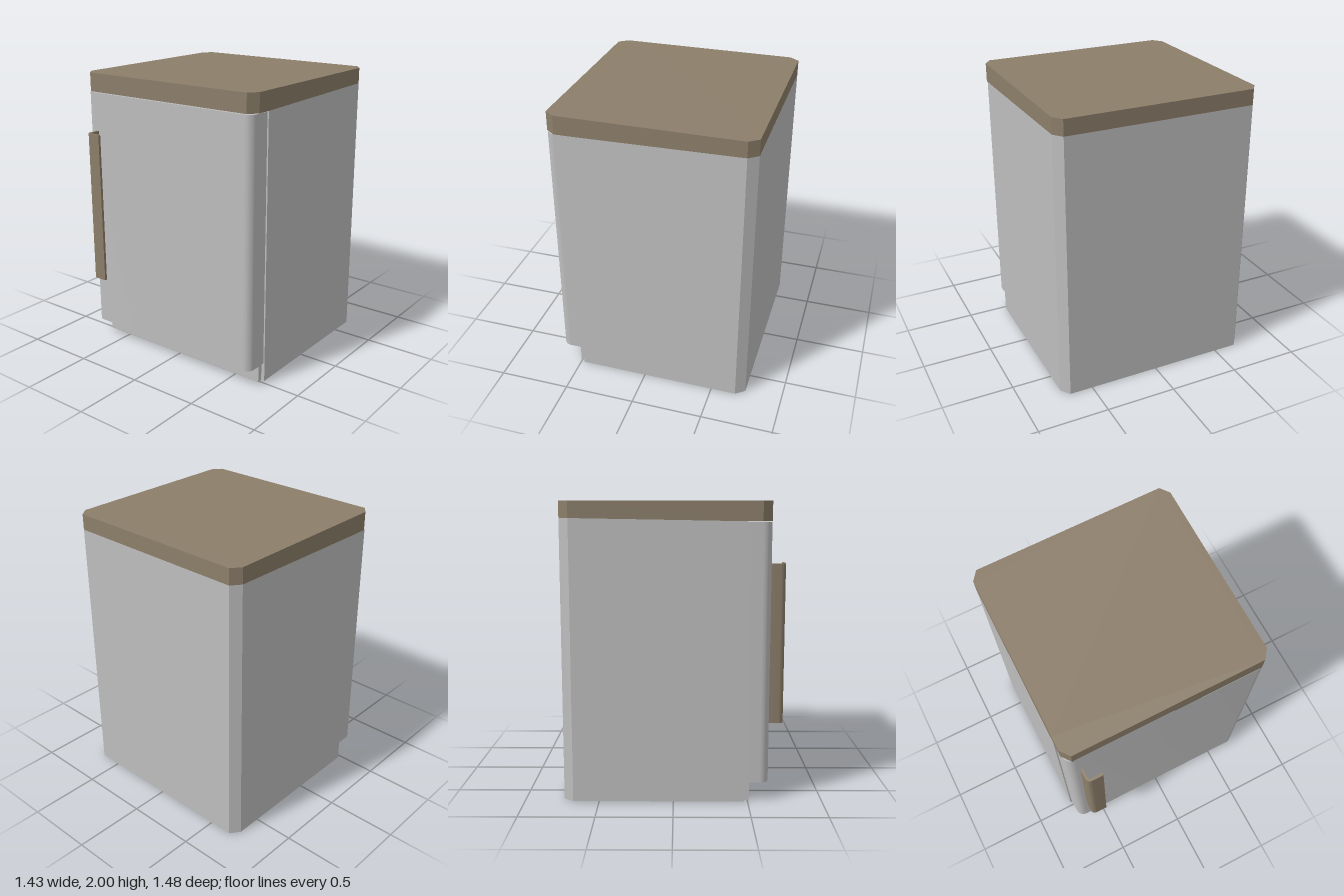
import * as THREE from 'three';
import { toCreasedNormals } from 'three/addons/utils/BufferGeometryUtils.js';

const steel = new THREE.MeshStandardMaterial({ color: 0xbebebe });
steel.name = 'light grey';
const trim = new THREE.MeshStandardMaterial({ color: 0x8c7e6a });
trim.name = 'taupe';

const W = 0.715, BACK = -0.74, FRONT = 0.64, BODY_FRONT = 0.475;
const CHAMFER_X = 0.05, CHAMFER_Z = 0.065;

// Shape from [x, z] floor-plan points
const plan = (points) => new THREE.Shape(points.map(([x, z]) => new THREE.Vector2(x, -z)));

// Raises a floor-plan shape from y0 to y1
function raise(shape, y0, y1) {
  const g = new THREE.ExtrudeGeometry(shape, { depth: y1 - y0, bevelEnabled: false, curveSegments: 8 });
  return g.rotateX(-Math.PI / 2).translate(0, y0, 0);
}

// Height of the joint between cabinet and worktop, rising slightly to the back
const joint = (z) => 1.87 + 0.02 * THREE.MathUtils.clamp((BODY_FRONT - z) / (BODY_FRONT - BACK - CHAMFER_Z), 0, 1);

function followJoint(g, isEdge) {
  const p = g.attributes.position;
  for (let i = 0; i < p.count; i++) if (isEdge(p.getY(i))) p.setY(i, joint(p.getZ(i)));
  g.computeVertexNormals();
  return g;
}

export function createModel() {
  const model = new THREE.Group();
  model.name = 'cabinetFridge';
  const add = (name, geometry, material) => {
    const mesh = new THREE.Mesh(geometry, material);
    mesh.name = name;
    model.add(mesh);
  };

  // Cabinet with chamfered back corners
  const backEdge = [
    [W, BACK + CHAMFER_Z], [W - CHAMFER_X, BACK],
    [-W + CHAMFER_X, BACK], [-W, BACK + CHAMFER_Z],
  ];
  const body = plan([[W, BODY_FRONT], ...backEdge, [-W, BODY_FRONT]]);
  add('cabinetBody', followJoint(raise(body, 0, 1.87), (y) => y > 1), steel);

  // Worktop, chamfered on all corners
  const top = plan([
    [W - CHAMFER_X, FRONT], [W, FRONT - CHAMFER_Z], [W, BODY_FRONT], ...backEdge,
    [-W, BODY_FRONT], [-W, FRONT - CHAMFER_Z], [-W + CHAMFER_X, FRONT],
  ]);
  add('worktop', followJoint(raise(top, 1.87, 2), (y) => y < 1.95), trim);

  // Door with rounded front edges
  const d = 0.705, r = 0.06;
  const door = new THREE.Shape();
  door.moveTo(-d, -BODY_FRONT);
  door.lineTo(-d, -FRONT + r);
  door.absarc(-d + r, -FRONT + r, r, Math.PI, Math.PI * 1.5, false);
  door.lineTo(d - r, -FRONT);
  door.absarc(d - r, -FRONT + r, r, Math.PI * 1.5, Math.PI * 2, false);
  door.lineTo(d, -BODY_FRONT);
  add('door', toCreasedNormals(raise(door, 0.13, 1.865), 0.6), steel);

  // Recessed plinth under the door
  const plinth = new THREE.BoxGeometry(1.38, 0.13, 0.06).translate(0, 0.065, 0.48);
  add('plinth', plinth, steel);

  // L-section handle
  const x0 = -0.625, z1 = 0.74, t = 0.018, ro = 0.034;
  const handle = new THREE.Shape();
  handle.moveTo(x0, -FRONT + 0.005);
  handle.lineTo(x0, -z1 + ro);
  handle.absarc(x0 + ro, -z1 + ro, ro, Math.PI, Math.PI * 1.5, false);
  handle.lineTo(-0.51, -z1);
  handle.lineTo(-0.51, -z1 + t);
  handle.lineTo(x0 + ro, -z1 + t);
  handle.absarc(x0 + ro, -z1 + ro, ro - t, Math.PI * 1.5, Math.PI, true);
  handle.lineTo(x0 + t, -FRONT + 0.005);
  add('doorHandle', toCreasedNormals(raise(handle, 0.52, 1.595), 0.6), trim);

  return model;
}
